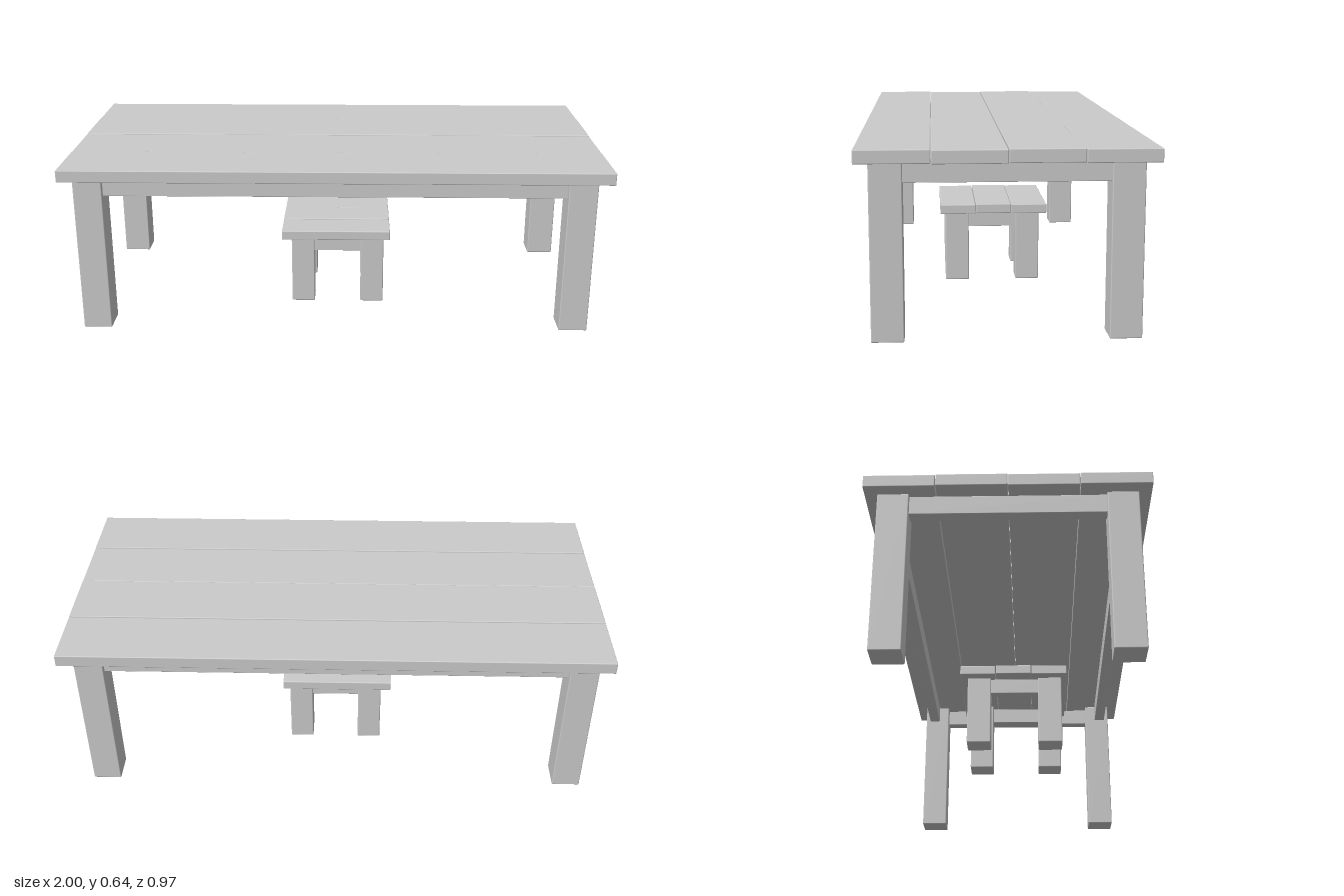
import * as THREE from 'three';
import { RoundedBoxGeometry } from 'three/addons/geometries/RoundedBoxGeometry.js';

const material = new THREE.MeshStandardMaterial({ color: 0xcccccc });

// Timber block with slightly eased edges, given by its min and max corners
function timber(name, [x0, y0, z0], [x1, y1, z1], bevel = 0.004) {
  const geometry = new RoundedBoxGeometry(x1 - x0, y1 - y0, z1 - z0, 2, bevel);
  const mesh = new THREE.Mesh(geometry, material);
  mesh.position.set((x0 + x1) / 2, (y0 + y1) / 2, (z0 + z1) / 2);
  mesh.name = name;
  return mesh;
}

// Plank top on four square legs joined by rails; used for both pieces
function plankFurniture(name, o) {
  const group = new THREE.Group();
  group.name = name;

  // Planks run along x, with tiny height differences between neighbours
  const pitch = (o.topZ[1] - o.topZ[0]) / o.planks;
  for (let i = 0; i < o.planks; i++) {
    const z = o.topZ[0] + i * pitch;
    const lift = i % 2 ? 0.001 : -0.001;
    group.add(timber('plank', [o.topX[0], o.topY[0] + lift, z + 0.001],
      [o.topX[1], o.topY[1] + lift, z + pitch - 0.001], 0.003));
  }

  // Legs, mirrored about the leg centre
  const { cx, cz, outX, inX, outZ, inZ } = o.legs;
  for (const sx of [-1, 1]) for (const sz of [-1, 1]) {
    const xs = [cx + sx * inX, cx + sx * outX].sort((a, b) => a - b);
    const zs = [cz + sz * inZ, cz + sz * outZ].sort((a, b) => a - b);
    group.add(timber('leg', [xs[0], 0, zs[0]], [xs[1], o.topY[0], zs[1]]));
  }

  // Rails between the legs, set back a little from their outer faces
  const half = o.railThickness / 2;
  const railX = outX - (outX - inX) * 0.38;
  const railZ = outZ - (outZ - inZ) * 0.38;
  for (const s of [-1, 1]) {
    const z = cz + s * railZ, x = cx + s * railX;
    group.add(timber('longRail', [cx - inX - 0.01, o.railY, z - half],
      [cx + inX + 0.01, o.topY[0], z + half], 0.002));
    group.add(timber('endRail', [x - half, o.railY, cz - inZ - 0.01],
      [x + half, o.topY[0], cz + inZ + 0.01], 0.002));
  }
  return group;
}

export function createModel() {
  const model = new THREE.Group();
  model.name = 'tableWithStool';
  model.add(
    plankFurniture('table', {
      planks: 4, topX: [-1, 1], topY: [0.592, 0.637], topZ: [-0.488, 0.488],
      legs: { cx: -0.002, cz: 0, outX: 0.953, inX: 0.847, outZ: 0.443, inZ: 0.335 },
      railY: 0.522, railThickness: 0.045,
    }),
    plankFurniture('stool', {
      planks: 3, topX: [-0.213, 0.21], topY: [0.27, 0.306], topZ: [-0.205, 0.211],
      legs: { cx: 0.005, cz: 0.007, outX: 0.181, inX: 0.091, outZ: 0.183, inZ: 0.092 },
      railY: 0.211, railThickness: 0.038,
    }),
  );
  return model;
}
